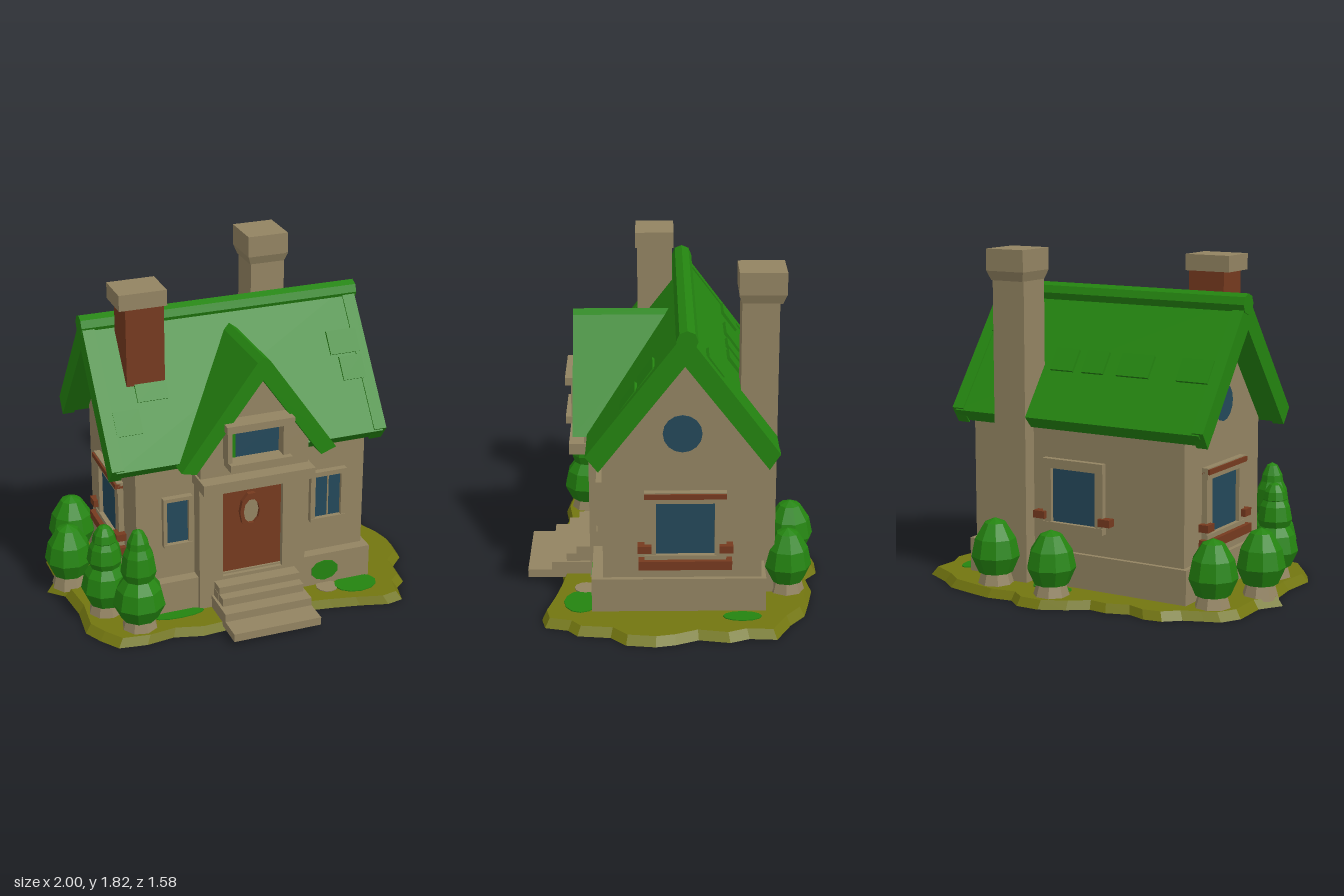
import * as THREE from 'three';

const mat = (name, color) => {
  const m = new THREE.MeshStandardMaterial({ color, flatShading: true });
  m.name = name;
  return m;
};

export function createModel() {
  const stone = mat('stone', 0x938462);
  const green = mat('leaf green', 0x248410);
  const grass = mat('grass', 0x737610);
  const wood = mat('wood', 0x763a1f);
  const glass = mat('glass', 0x24485a);
  const model = new THREE.Group();
  model.name = 'cottage';

  const add = (name, geo, m, parent = model) => {
    const mesh = new THREE.Mesh(geo, m);
    mesh.name = name;
    parent.add(mesh);
    return mesh;
  };
  // box given by its limits on each axis
  const box = (name, m, x0, x1, y0, y1, z0, z1, parent) => {
    const mesh = add(name, new THREE.BoxGeometry(x1 - x0, y1 - y0, z1 - z0), m, parent);
    mesh.position.set((x0 + x1) / 2, (y0 + y1) / 2, (z0 + z1) / 2);
    return mesh;
  };
  const polygon = pts => new THREE.Shape(pts.map(p => new THREE.Vector2(...p)));
  const prismZ = (pts, z0, z1) => new THREE.ExtrudeGeometry(polygon(pts),
    { depth: z1 - z0, bevelEnabled: false }).translate(0, 0, z0);
  // profile of [z, y] points swept along x
  const prismX = (pts, x0, x1) => prismZ(pts.map(([z, y]) => [-z, y]), x0, x1).rotateY(Math.PI / 2);

  // grass island with a wavy outline, narrowing towards the top
  const outline = [
    [-.86, -.5], [-.78, -.53], [-.68, -.57], [-.6, -.64], [-.5, -.655], [-.4, -.62], [-.28, -.66], [-.18, -.65],
    [-.08, -.72], [.05, -.785], [.18, -.785], [.26, -.72], [.4, -.74], [.55, -.71], [.68, -.68], [.78, -.6],
    [.93, -.52], [.92, -.38], [.96, -.28], [.93, -.12], [.98, 0], [1, .1], [.98, .25], [.9, .33], [.88, .5],
    [.82, .55], [.79, .67], [.7, .69], [.55, .65], [.4, .62], [.27, .6], [-.2, .63], [-.35, .64], [-.5, .6],
    [-.65, .62], [-.8, .6], [-.87, .5], [-.92, .4], [-.9, .2], [-.92, 0], [-1, -.08], [-.92, -.2], [-.92, -.4]];
  const island = new THREE.ExtrudeGeometry(polygon(outline.map(([x, z]) => [x, -z])),
    { depth: .045, bevelEnabled: false }).rotateX(-Math.PI / 2);
  const ip = island.attributes.position;
  for (let i = 0; i < ip.count; i++) {
    if (ip.getY(i) > .02) ip.setXYZ(i, ip.getX(i) * .965, ip.getY(i), ip.getZ(i) * .965);
  }
  island.computeVertexNormals();
  add('grassIsland', island, grass);

  // flat patches on the ground and on the plinth
  for (const [x, z, rx, rz, m] of [[.59, .49, .12, .09, green], [.76, -.35, .05, .1, green],
    [.43, .47, .06, .06, stone], [.12, -.54, .12, .05, green], [-.42, .46, .14, .04, green]]) {
    const patch = add('groundPatch', new THREE.CylinderGeometry(1, 1, .006, 12), m);
    patch.position.set(x, .047, z);
    patch.scale.set(rx, 1, rz);
  }
  const moss = add('plinthMoss', new THREE.CylinderGeometry(1, 1, .006, 10).rotateX(Math.PI / 2), green);
  moss.position.set(.43, .13, .433);
  moss.scale.set(.08, .06, 1);

  // walls with gables, and plinth
  add('walls', prismX([[.37, .04], [.37, .9], [-.05, 1.47], [-.45, .92], [-.45, .04]], -.62, .67), stone);
  box('plinth', stone, -.645, .695, .04, .23, -.475, .43);

  // main roof with raised verges and a ridge log
  const roofProfile = lift => [[.45, .93 + lift], [-.05, 1.58 + lift], [-.53, .94 + lift],
    [-.475, .88 - lift], [-.05, 1.43 - lift], [.385, .87 - lift]];
  add('mainRoof', prismX(roofProfile(0), -.74, .74), green);
  for (const [a, b] of [[-.765, -.7], [.69, .76]]) add('roofVerge', prismX(roofProfile(.012), a, b), green);
  const ridge = add('roofRidge', new THREE.CylinderGeometry(.055, .055, 1.54, 8).rotateZ(Math.PI / 2), green);
  ridge.position.set(0, 1.55, -.06);

  // loose shingles: x, distance down the slope, width, side of the roof
  for (const [x, t, w, side] of [[.63, .38, .17, 1], [.65, .56, .13, 1], [-.47, .5, .17, 1], [-.63, .7, .14, 1],
    [-.61, .55, .18, -1], [-.26, .55, .19, -1], [-.02, .55, .13, -1], [.17, .55, .14, -1], [.62, .3, .15, -1]]) {
    const shingle = add('shingle', new THREE.BoxGeometry(w, .03, .13), green);
    shingle.position.set(x, 1.58 - .65 * t, -.05 + side * .49 * t);
    shingle.rotation.x = side * .95;
  }

  // porch: pillars, recessed door, beam and gable
  for (const s of [-1, 1]) {
    box('porchPillar', stone, s < 0 ? -.3 : .17, s < 0 ? -.17 : .3, .04, .78, .3, .45);
  }
  box('porchThreshold', stone, -.17, .17, .04, .22, .3, .45);
  box('door', wood, -.17, .17, .22, .77, .36, .42);
  const doorFrame = new THREE.Shape().absellipse(0, 0, .065, .11, 0, Math.PI * 2);
  doorFrame.holes.push(new THREE.Path().absellipse(0, 0, .045, .072, 0, Math.PI * 2));
  add('doorWindowFrame', new THREE.ExtrudeGeometry(doorFrame,
    { depth: .03, bevelEnabled: false, curveSegments: 5 }), wood).position.set(-.005, .58, .415);
  const oval = add('doorWindow', new THREE.CylinderGeometry(1, 1, .008, 12).rotateX(Math.PI / 2), stone);
  oval.position.set(-.005, .58, .423);
  oval.scale.set(.046, .073, 1);
  box('porchBeam', stone, -.31, .31, .77, .83, .3, .55);
  add('porchGable', prismZ([[-.3, .82], [.3, .82], [.3, 1.02], [.025, 1.38], [-.3, .97]], .1, .47), stone);
  add('porchRoof', prismZ([[-.42, .91], [-.34, .89], [.02, 1.36], [.35, .89], [.435, .92],
    [.06, 1.46], [.025, 1.485], [-.01, 1.46]], -.02, .525), green);

  // gable window
  box('gableGlass', glass, -.11, .13, .93, 1.1, .468, .475);
  box('gableShutter', green, -.155, -.11, .93, 1.1, .468, .478);
  for (const [a, b, c, d, z] of [[-.19, .18, 1.11, 1.15, .57], [-.17, .17, .89, .93, .57],
    [-.175, -.15, .93, 1.11, .54], [.13, .165, .93, 1.11, .54]]) {
    box('gableWindowFrame', stone, a, b, c, d, .46, z);
  }

  // entrance steps
  [[.79, .07], [.66, .115], [.58, .16], [.525, .2]].forEach(([z, y], i) => {
    const half = i > 1 ? .23 : .245;
    box('step', stone, .012 - half, .012 + half, y - .045, y, .42, z);
  });
  box('stepBase', stone, -.22, .24, .04, .16, .42, .52);

  // windows: pane, frame and optionally a wooden lintel, sill and brackets, facing local +z
  const window_ = (name, x, y, z, turn, w, h, trim, wooden) => {
    const g = new THREE.Group();
    g.name = name;
    g.position.set(x, y, z);
    g.rotation.y = turn;
    model.add(g);
    const a = w / 2, b = h / 2, f = trim;
    box('pane', glass, -a, a, -b, b, 0, .009, g);
    for (const s of [-1, 1]) box('jamb', stone, s * (a + f / 2) - f / 2, s * (a + f / 2) + f / 2, -b, b, -.01, .03, g);
    box('head', stone, -a - f, a + f, b, b + f, -.01, .035, g);
    box('foot', stone, -a - f, a + f, -b - f * .7, -b, -.01, .035, g);
    if (wooden) {
      box('lintel', wood, -a - f, a + f, b + f * .45, b + f * .9, -.01, .045, g);
      box('sill', wood, -a - f - .03, a + f + .03, -b - f - .012, -b - f * .4, -.01, .06, g);
      for (const s of [-1, 1]) box('bracket', wood, s * (a + .06) - .035, s * (a + .06) + .035, -b + .02, -b + .06, -.01, .055, g);
    }
    return g;
  };
  window_('frontLeftWindow', .455, .565, .37, 0, .15, .25, .027, false);
  window_('frontRightWindow', -.4, .565, .37, 0, .12, .25, .02, false);
  box('windowBar', wood, .455, .463, .44, .69, .375, .382).material = stone;
  window_('leftWindow', .67, .515, -.055, Math.PI / 2, .3, .29, .06, true);
  window_('rightWindow', -.62, .515, -.055, -Math.PI / 2, .3, .29, .06, true);
  window_('backWindow', .03, .53, -.45, Math.PI, .27, .29, .05, false);
  for (const s of [-1, 1]) box('backBracket', wood, .03 + s * .2 - .035, .03 + s * .2 + .035, .4, .44, -.5, -.44);

  // round attic windows
  for (const x of [-.62, .67]) {
    const round = add('roundWindow', new THREE.CylinderGeometry(.1, .1, .009, 16).rotateZ(Math.PI / 2), glass);
    round.position.set(x, 1.03, -.04);
  }

  // short brick chimney: its left face is stone
  box('shortChimney', [stone, wood, stone, stone, wood, wood], -.595, -.39, 1.28, 1.71, 0, .19);
  box('shortChimneyCap', stone, -.63, -.375, 1.7, 1.785, -.01, .2);

  // tall chimney rising from the ground, with a flared cap
  box('tallChimney', stone, .29, .485, .04, 1.7, -.53, -.34);
  box('tallChimneyCap', stone, .27, .5, 1.7, 1.815, -.565, -.325);
  const flare = add('tallChimneyFlare', new THREE.CylinderGeometry(Math.SQRT1_2, .6, .05, 4, 1, true)
    .rotateY(Math.PI / 4), stone);
  flare.position.set(.386, 1.675, -.443);
  flare.scale.set(.23, 1, .24);

  // bushes: faceted lathes on small stone mounds
  const egg = [[0, 0], [.7, .08], [1, .36], [.85, .66], [.45, .92], [0, 1]];
  const blob = (g, r, y0, y1) => add('foliage', new THREE.LatheGeometry(
    egg.map(([a, t]) => new THREE.Vector2(a * r, y0 + t * (y1 - y0))), 9), green, g);
  for (const [x, z, r, h, tall] of [[-.76, -.4, .13, .4, false], [-.87, -.08, .13, .4, false],
    [-.77, .28, .13, .56, true], [-.65, .49, .14, .62, true], [.06, -.64, .13, .39, false], [.44, -.6, .13, .4, false]]) {
    const g = new THREE.Group();
    g.name = 'bush';
    g.position.set(x, 0, z);
    g.rotation.y = x * 7;
    model.add(g);
    add('mound', new THREE.CylinderGeometry(.07, .1, .1, 8), stone, g).position.y = .08;
    blob(g, r, .08, tall ? .38 : h);
    if (tall) {
      blob(g, .095, .27, h - .04);
      blob(g, .065, .42, h);
    }
  }
  return model;
}
